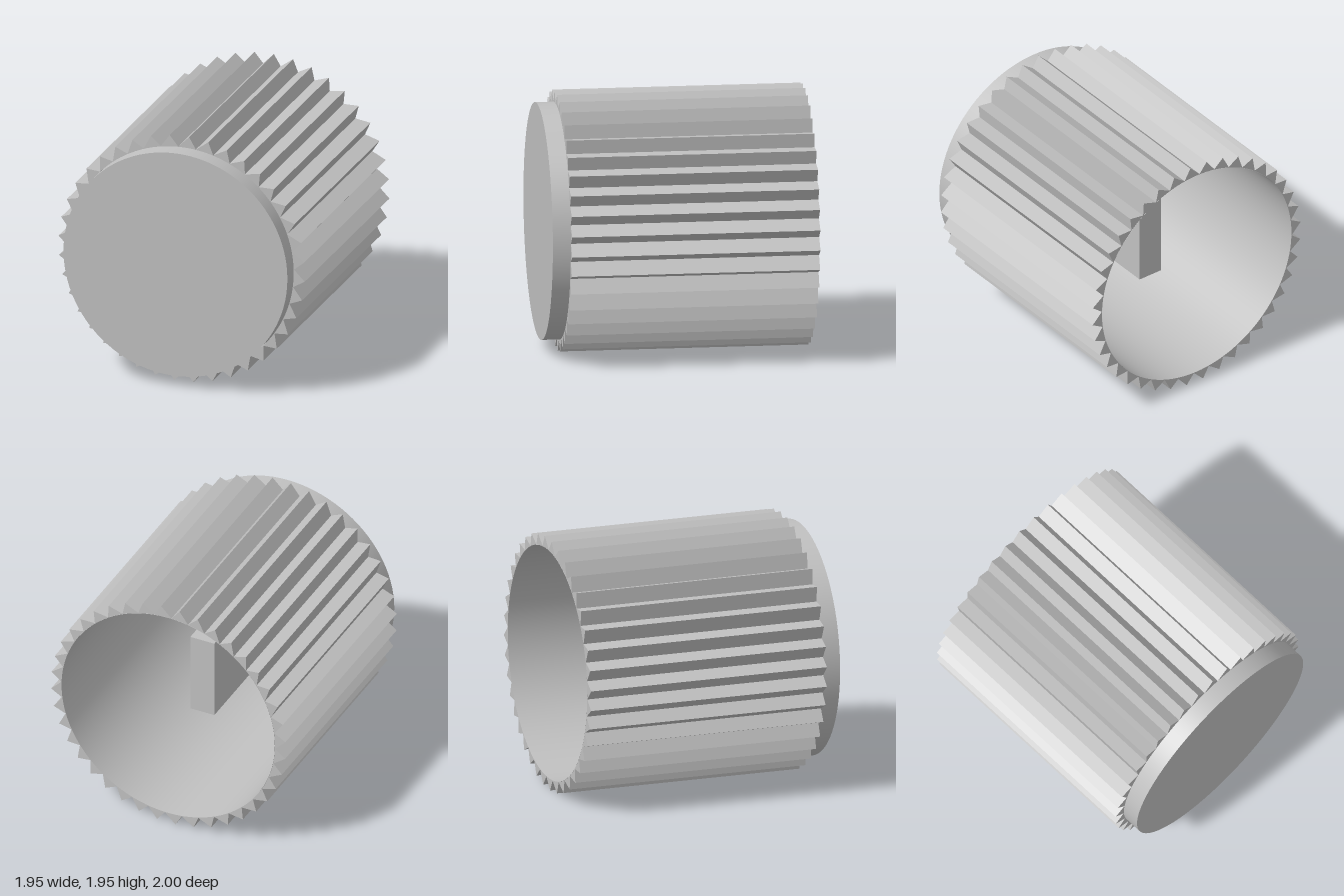
import * as THREE from 'three';

const CY = 0.976;        // height of the knob axis
const R = 0.887;         // shell radius
const VALLEY = 0.891;    // radius between ridges
const TIP = 0.977;       // radius at ridge tips
const RIDGES = 40;
const BACK = -1, SHOULDER = 0.865, FRONT = 1;

export function createModel() {
  const grey = new THREE.MeshStandardMaterial({ color: 0xc0c0c0 });
  grey.name = 'grey';
  const greyShell = grey;
  greyShell.side = THREE.DoubleSide;

  const group = new THREE.Group();
  group.name = 'knob';
  const add = (name, geometry, z) => {
    const mesh = new THREE.Mesh(geometry, grey);
    mesh.name = name;
    mesh.position.set(0, CY, z);
    group.add(mesh);
  };

  // Ridged grip: slightly skewed saw teeth around the shell
  const rad = THREE.MathUtils.degToRad;
  const points = [];
  for (let i = 0; i < RIDGES; i++) {
    const tip = -3.5 + (i * 360) / RIDGES;
    for (const [r, deg] of [[VALLEY, tip - 3.8], [TIP, tip]]) {
      points.push(new THREE.Vector2(r * Math.cos(rad(deg)), r * Math.sin(rad(deg))));
    }
  }
  const profile = new THREE.Shape(points);
  profile.holes.push(new THREE.Path().absarc(0, 0, R + 0.0015, 0, Math.PI * 2, true));
  add('ridgedGrip', new THREE.ExtrudeGeometry(profile, {
    depth: SHOULDER - BACK, bevelEnabled: false, curveSegments: 60,
  }), BACK);

  // Smooth thin shell, open at the back
  const shell = new THREE.CylinderGeometry(R, R, FRONT - BACK, 96, 1, true);
  shell.rotateX(Math.PI / 2);
  add('shell', shell, 0);

  // Flat front face
  add('frontFace', new THREE.CircleGeometry(R, 96), FRONT);

  // Rectangular post inside the shell
  const postBack = -0.43, postFront = FRONT - 0.005;
  add('innerPost', new THREE.BoxGeometry(0.2, 0.65, postFront - postBack), (postFront + postBack) / 2);

  return group;
}
